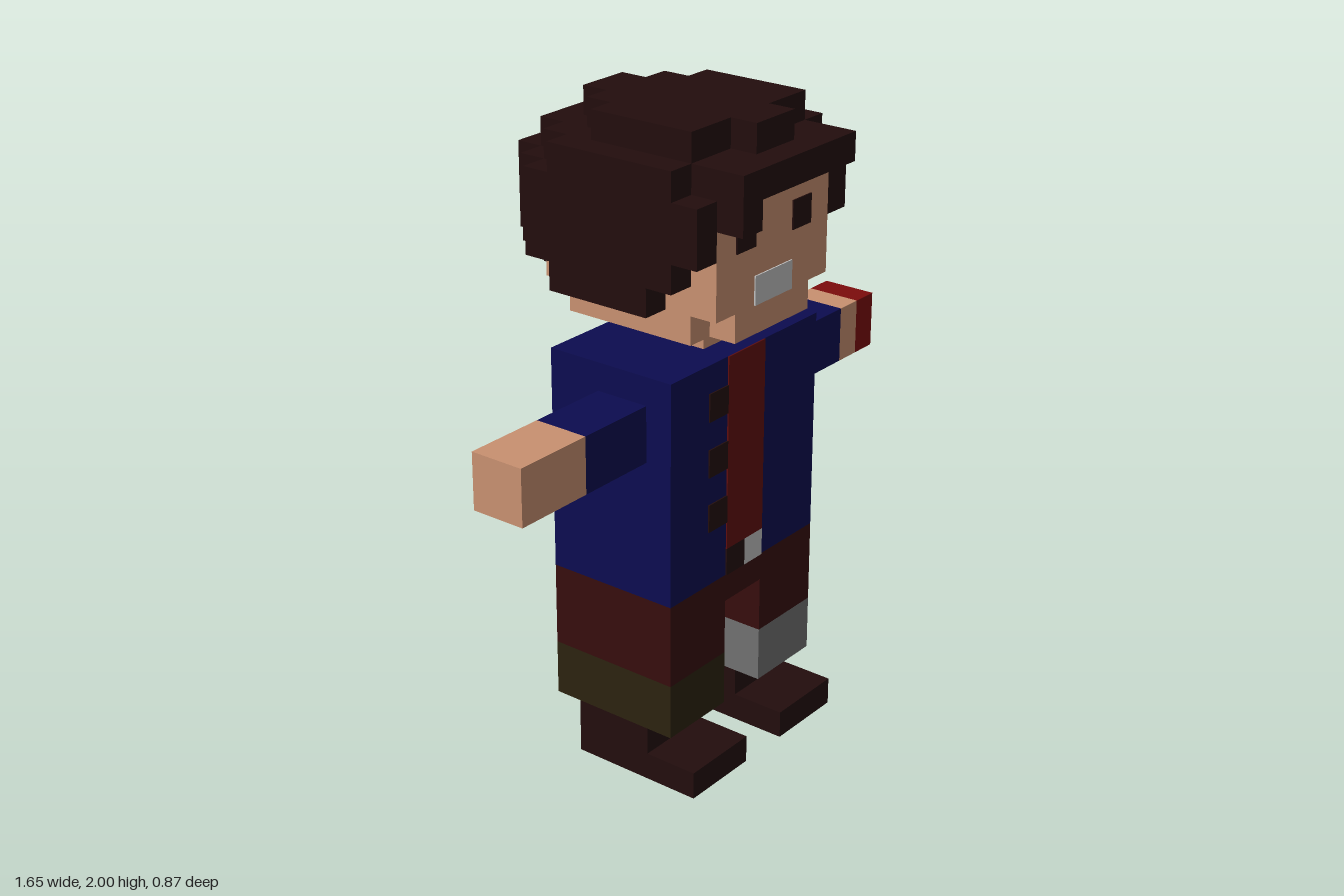
import * as THREE from 'three';

const U = 2 / 23; // one block

const material = (name, color) => {
  const m = new THREE.MeshStandardMaterial({ color });
  m.name = name;
  return m;
};

export function createModel() {
  const model = new THREE.Group();
  model.name = 'blockFigure';

  const skin = material('skin', 0xc89070);
  const dark = material('darkBrown', 0x220d0d);
  const blue = material('coatBlue', 0x0c0c50);
  const shirtRed = material('shirtRed', 0x600d0d);
  const brightRed = material('brightRed', 0x7c0c0c);
  const maroon = material('trouserMaroon', 0x360d0d);
  const olive = material('olive', 0x2c220f);
  const grey = material('grey', 0x707070);
  const pale = material('paleGrey', 0xc0c0c0);

  // Box given by its limits in block units
  const box = (name, mat, x0, x1, y0, y1, z0, z1, parent = model) => {
    const g = new THREE.BoxGeometry((x1 - x0) * U, (y1 - y0) * U, (z1 - z0) * U);
    const mesh = new THREE.Mesh(g, mat);
    mesh.name = name;
    mesh.position.set((x0 + x1) / 2 * U, (y0 + y1) / 2 * U, (z0 + z1) / 2 * U);
    parent.add(mesh);
    return mesh;
  };
  const group = (name) => {
    const g = new THREE.Group();
    g.name = name;
    model.add(g);
    return g;
  };
  // Thin painted detail on a surface facing forward
  const plate = (name, mat, x0, x1, y0, y1, z, parent) =>
    box(name, mat, x0, x1, y0, y1, z, z + 0.05, parent);

  // Boots
  for (const [side, x] of [['right', -3.5], ['left', 1.5]]) {
    const boot = group(side + 'Boot');
    box('sole', dark, x, x + 3, 0, 1, -1, 4, boot);
    box('shaft', dark, x, x + 3, 1, 2, -1, 2, boot);
  }

  // Trouser legs with odd cuffs; the right cuff is torn at its inner back corner
  box('leftCuff', grey, 1.5, 4.5, 2, 4, -2, 3);
  const cuff = group('rightCuff');
  box('upperCuff', olive, -3.5, -0.5, 3, 4, -2, 3, cuff);
  box('lowerCuff', olive, -3.5, -0.5, 2, 3, -1, 3, cuff);
  box('lowerCuffBack', olive, -3.5, -1.5, 2, 3, -2, -1, cuff);
  box('rightTrouserLeg', maroon, -3.5, -0.5, 4, 6, -2, 3);
  box('leftTrouserLeg', maroon, 1.5, 4.5, 4, 6, -2, 3);
  box('hips', maroon, -3.5, 4.5, 6, 7, -2, 3);

  // Coat, shirt and fastenings
  box('coat', blue, -3.5, 4.5, 7, 15, -2, 3);
  plate('shirt', shirtRed, -0.5, 1.5, 8, 15, 3);
  plate('belt', dark, -0.5, 0.5, 7, 8, 3);
  plate('buckle', pale, 0.5, 1.5, 7, 8, 3);
  for (const y of [9, 11, 13]) plate('button', dark, -1.5, -0.5, y, y + 1, 3);

  // Arms
  box('rightSleeve', blue, -6.5, -3.5, 12, 14, 0, 2);
  box('rightHand', skin, -9.5, -6.5, 12, 14, 0, 2);
  box('leftSleeve', blue, 4.5, 7.5, 12, 14, 0, 2);
  box('leftHand', skin, 7.5, 8.5, 12, 14, 0, 2);
  const tip = group('leftHandTip');
  box('upperTip', brightRed, 8.5, 9.5, 13, 14, 0, 2, tip);
  box('lowerTip', brightRed, 8.5, 9.5, 12, 13, 1, 2, tip);
  box('darkTip', maroon, 8.5, 9.5, 12, 13, 0, 1, tip);

  // Neck and head, with the chin layer's corners cut
  box('neck', skin, -0.5, 1.5, 15, 16, -1, 2);
  const head = group('head');
  box('chinMiddle', skin, -1.5, 2.5, 16, 17, -3, 4, head);
  box('chinRight', skin, -2.5, -1.5, 16, 17, -2, 3, head);
  box('chinLeft', skin, 2.5, 3.5, 16, 17, -2, 3, head);
  box('skull', skin, -2.5, 3.5, 17, 21, -3, 4, head);
  plate('rightEye', dark, -1.5, -0.5, 19, 20, 4, head);
  plate('leftEye', dark, 1.5, 2.5, 19, 20, 4, head);
  plate('mouth', pale, -0.5, 1.5, 17, 18, 4, head);

  // Hair: stepped crown, each entry is half width, bottom, back, front
  const hair = group('hair');
  const crown = [
    [4, 21, -2, 3], [3, 21, -3, 5], [2, 21, -4, 5],
    [3, 22, -1, 3], [2, 22, -2, 3], [1, 22, -3, 4],
  ];
  for (const [w, y, z0, z1] of crown) {
    box('crownStep', dark, 0.5 - w, 0.5 + w, y, y + 1, z0, z1, hair);
  }
  // Side hair, stepping back towards the jaw: bottom, back, front
  const sideSteps = [[17, -2, 2], [18, -3, 3], [19, -3, 4], [20, -3, 4]];
  for (const x of [-3.5, 3.5]) {
    for (const [y, z0, z1] of sideSteps) {
      box('sideHair', dark, x, x + 1, y, y + 1, z0, z1, hair);
    }
  }
  // Back hair and fringe lock
  box('backHair', dark, -2.5, 3.5, 18, 21, -4, -3, hair);
  box('backHairBulge', dark, -1.5, 2.5, 18, 21, -5, -4, hair);
  box('napeHair', dark, -1.5, 2.5, 17, 18, -4, -3, hair);
  box('fringeLock', dark, -2.5, -1.5, 20, 21, 4, 5, hair);

  return model;
}
